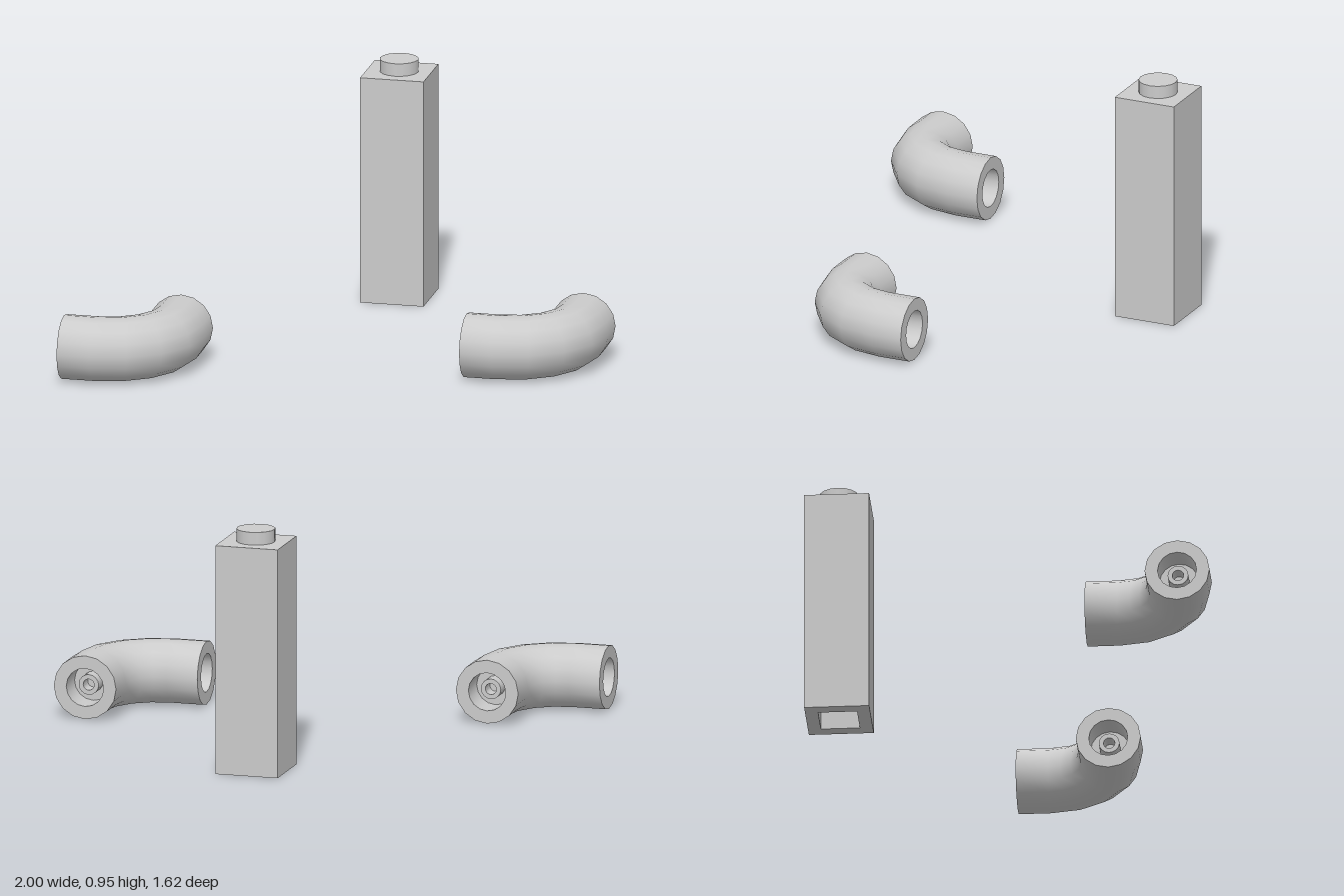
import * as THREE from 'three';
import { toCreasedNormals } from 'three/addons/utils/BufferGeometryUtils.js';

const SIDES = 16;
const R = 0.125; // pipe radius and half width of the column
const BEND = 0.25; // radius of the elbow's centre line
const material = new THREE.MeshStandardMaterial({ color: 0xcccccc });

function addMesh(parent, name, geometry, x = 0, y = 0, z = 0) {
  const mesh = new THREE.Mesh(geometry, material);
  mesh.name = name;
  mesh.position.set(x, y, z);
  parent.add(mesh);
  return mesh;
}

// Outer skin: straight collar, four-step quarter bend, straight collar
function elbowSkin() {
  const stations = [[0, -R]];
  for (let i = 0; i <= 4; i++) stations.push([(i * Math.PI) / 8, 0]);
  stations.push([Math.PI / 2, R]);
  const positions = [];
  const index = [];
  stations.forEach(([angle, along], i) => {
    const s = Math.sin(angle);
    const c = Math.cos(angle);
    for (let j = 0; j < SIDES; j++) {
      const a = (j / SIDES) * Math.PI * 2;
      const reach = BEND + R * Math.cos(a);
      positions.push(reach * s + along * c, R + R * Math.sin(a), reach * c - along * s);
      if (i === stations.length - 1) continue;
      const p = i * SIDES + j;
      const q = i * SIDES + ((j + 1) % SIDES);
      index.push(p, p + SIDES, q, p + SIDES, q + SIDES, q);
    }
  });
  const geometry = new THREE.BufferGeometry();
  geometry.setAttribute('position', new THREE.Float32BufferAttribute(positions, 3));
  geometry.setIndex(index);
  geometry.computeVertexNormals();
  return geometry;
}

// End face with a round socket and a hollow pin inside
function socketGeometry() {
  const profile = [
    [R, 0], [0.075, 0], [0.075, -0.11], [0.04, -0.11],
    [0.04, -0.05], [0.022, -0.05], [0.022, -0.11], [0, -0.11],
  ].map(([x, y]) => new THREE.Vector2(x, y));
  return toCreasedNormals(new THREE.LatheGeometry(profile, SIDES), 0.6);
}

function makeElbow(name, x, z) {
  const elbow = new THREE.Group();
  elbow.name = name;
  elbow.position.set(x, 0, z);
  addMesh(elbow, 'bentPipe', elbowSkin());
  addMesh(elbow, 'sideSocket', socketGeometry(), -R, R, BEND).rotation.z = Math.PI / 2;
  addMesh(elbow, 'backSocket', socketGeometry(), BEND, R, -R).rotation.x = -Math.PI / 2;
  return elbow;
}

function squarePath(path, h) {
  path.moveTo(-h, -h);
  path.lineTo(h, -h);
  path.lineTo(h, h);
  path.lineTo(-h, h);
  path.closePath();
  return path;
}

// Tall square column, hollow from below, with a stud on top
function makeColumn() {
  const column = new THREE.Group();
  column.name = 'column';
  column.position.z = -0.6875;
  const section = squarePath(new THREE.Shape(), R);
  section.holes.push(squarePath(new THREE.Path(), 0.075));
  const walls = new THREE.ExtrudeGeometry(section, { depth: 0.85, bevelEnabled: false });
  walls.rotateX(-Math.PI / 2);
  addMesh(column, 'columnWalls', walls);
  addMesh(column, 'columnTop', new THREE.BoxGeometry(2 * R, 0.05, 2 * R), 0, 0.875, 0);
  addMesh(column, 'stud', new THREE.CylinderGeometry(0.075, 0.075, 0.05, SIDES), 0, 0.925, 0);
  return column;
}

export function createModel() {
  const model = new THREE.Group();
  model.name = 'pipesAndColumn';
  model.add(
    makeColumn(),
    makeElbow('leftElbow', 0.625, 0.0625),
    makeElbow('rightElbow', -0.875, 0.4375),
  );
  return model;
}
